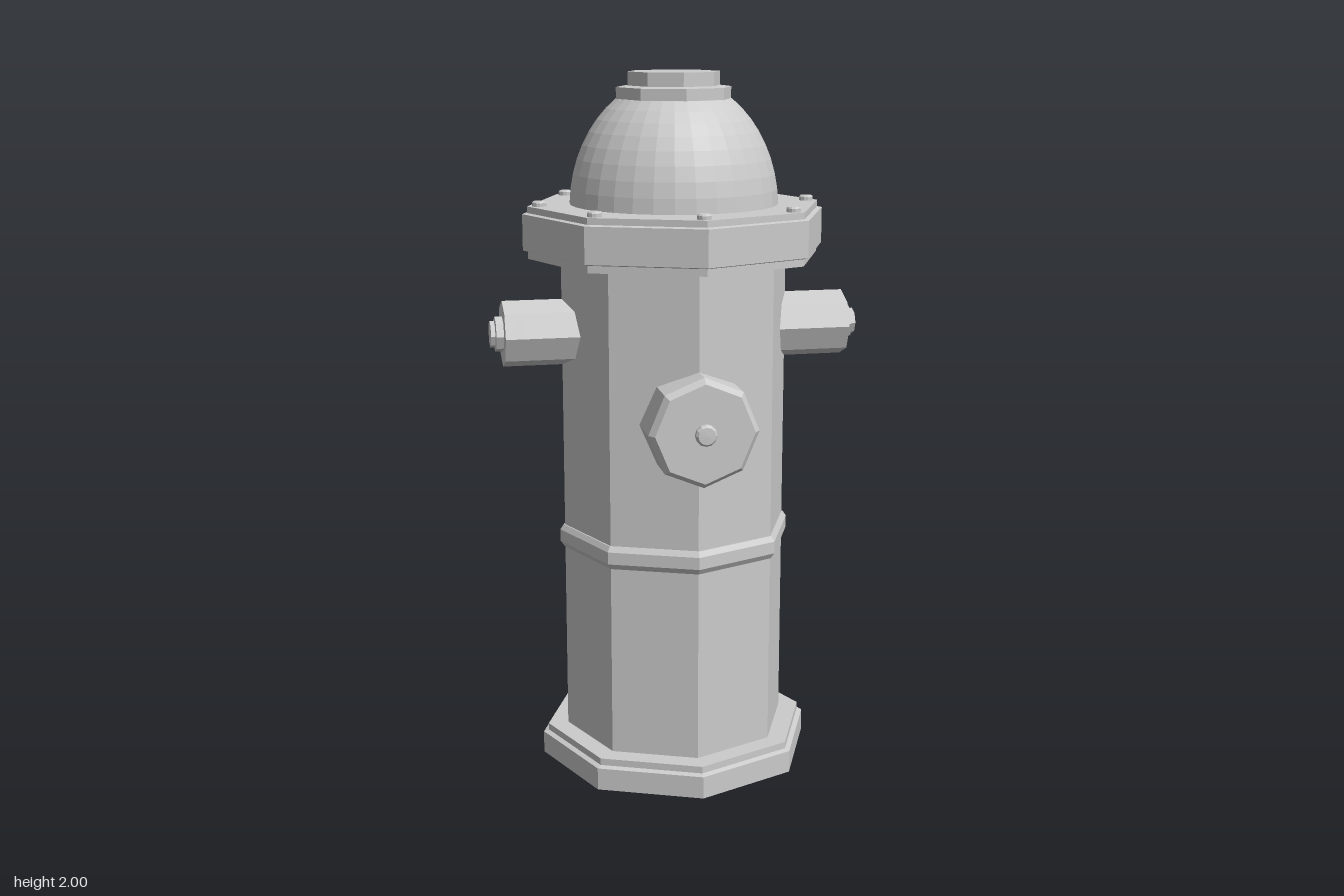
import * as THREE from 'three';

const material = new THREE.MeshStandardMaterial({ color: 0xcccccc, flatShading: true });

// Solid of revolution around y from [radius, height] pairs, listed bottom to top
function turned(name, profile, sides = 8) {
  const points = profile.map(([r, y]) => new THREE.Vector2(r, y));
  const mesh = new THREE.Mesh(new THREE.LatheGeometry(points, sides), material);
  mesh.name = name;
  return mesh;
}

export function createModel() {
  const hydrant = new THREE.Group();
  hydrant.name = 'hydrant';

  // Octagonal foot, barrel and middle band
  hydrant.add(turned('base', [[0, 0], [0.4, 0], [0.4, 0.065], [0.385, 0.07], [0.385, 0.09], [0, 0.09]]));
  hydrant.add(turned('barrel', [[0, 0.05], [0.326, 0.05], [0.326, 1.55], [0, 1.55]]));
  hydrant.add(turned('band', [[0.32, 0.643], [0.328, 0.643], [0.34, 0.66], [0.34, 0.695], [0.33, 0.71], [0.32, 0.71]]));

  // Wide collar with narrow lips above and below
  hydrant.add(turned('collar', [
    [0, 1.49], [0.418, 1.49], [0.418, 1.51], [0.432, 1.514],
    [0.432, 1.615], [0.418, 1.618], [0.418, 1.636], [0, 1.636],
  ]));

  // Ring of bolts on the collar
  const bolts = new THREE.Group();
  bolts.name = 'collarBolts';
  for (let i = 0; i < 8; i++) {
    const a = (i * Math.PI) / 4;
    const bolt = turned('bolt', [[0.02, 1.63], [0.02, 1.646], [0.017, 1.65], [0, 1.65]], 12);
    bolt.position.set(0.384 * Math.sin(a), 0, 0.384 * Math.cos(a));
    bolts.add(bolt);
  }
  hydrant.add(bolts);

  // Faceted dome
  const arc = [];
  const rows = 8;
  for (let i = 0; i <= rows; i++) {
    const t = 0.04 + (i / rows) * 0.95;
    arc.push([0.295 * Math.cos(t), 1.62 + 0.366 * Math.sin(t)]);
  }
  arc.push([0, 1.926]);
  const dome = turned('dome', arc, 32);
  dome.position.z = -0.01;
  hydrant.add(dome);

  // Two-step operating nut
  const nut = turned('topNut', [
    [0, 1.915], [0.164, 1.925], [0.164, 1.958], [0.131, 1.962], [0.131, 2], [0, 2],
  ]);
  nut.position.z = -0.01;
  hydrant.add(nut);

  // Side outlets, mirrored left and right
  for (const side of [1, -1]) {
    const outlet = new THREE.Group();
    outlet.name = side > 0 ? 'leftOutlet' : 'rightOutlet';
    outlet.add(turned('outletBody', [[0, 0.22], [0.094, 0.22], [0.094, 0.444], [0.094, 0.495], [0, 0.495]]));
    outlet.add(turned('outletNut', [[0.05, 0.49], [0.05, 0.516], [0.038, 0.518], [0.038, 0.53], [0, 0.53]]));
    outlet.rotation.z = -side * Math.PI / 2;
    outlet.position.y = 1.28;
    hydrant.add(outlet);
  }

  // Large front outlet cap with a bevelled rim and a low knob
  const front = new THREE.Group();
  front.name = 'frontOutlet';
  front.add(turned('frontCap', [[0, 0.22], [0.153, 0.22], [0.153, 0.39], [0.138, 0.409], [0, 0.409]]));
  front.add(turned('frontKnob', [[0.03, 0.4], [0.03, 0.42], [0.024, 0.427], [0, 0.428]], 12));
  front.rotation.x = Math.PI / 2;
  front.position.y = 1.063;
  hydrant.add(front);

  return hydrant;
}
